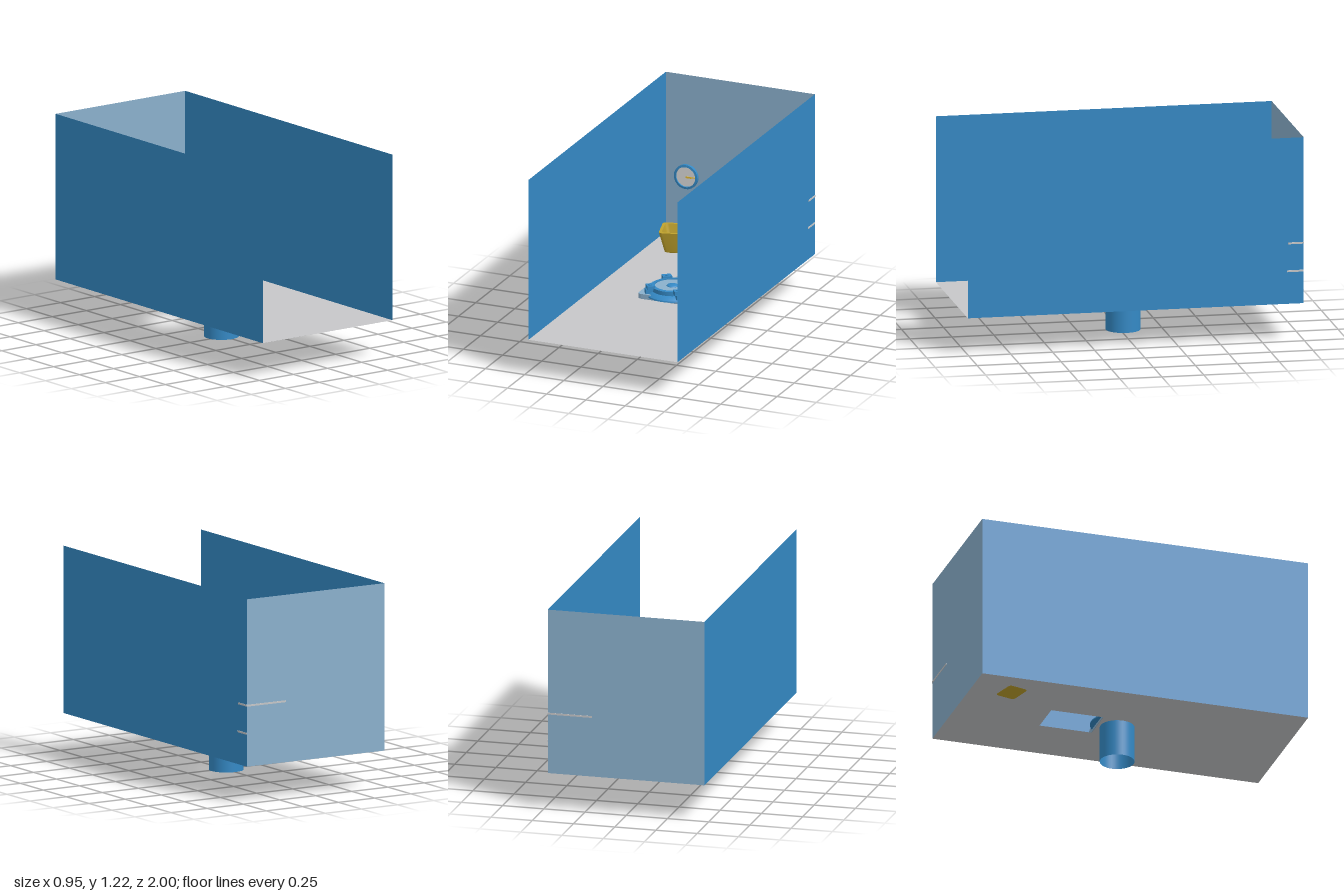
import * as THREE from 'three';
import { toCreasedNormals } from 'three/addons/utils/BufferGeometryUtils.js';

const mat = (name, color) => new THREE.MeshStandardMaterial({ name, color, side: THREE.DoubleSide });

// Corner points of a rounded rectangle, counter-clockwise, always the same count
function roundRectPoints(w, d, r, steps = 4) {
  const pts = [];
  for (let c = 0; c < 4; c++) {
    const sx = c === 0 || c === 3 ? 1 : -1, sy = c < 2 ? 1 : -1;
    for (let i = 0; i <= steps; i++) {
      const a = (c + i / steps) * Math.PI / 2;
      pts.push(new THREE.Vector2(sx * (w / 2 - r) + r * Math.cos(a), sy * (d / 2 - r) + r * Math.sin(a)));
    }
  }
  return pts;
}

// Skin over a stack of equal-length cross-sections
function skinSections(sections) {
  const pos = [], index = [];
  const n = sections[0].pts.length;
  sections.forEach(({ pts, y }, k) => {
    pts.forEach((p, i) => {
      pos.push(p.x, y, -p.y);
      if (k > 0) {
        const a = (k - 1) * n + i, b = (k - 1) * n + (i + 1) % n;
        index.push(a, b, a + n, b, b + n, a + n);
      }
    });
  });
  const geo = new THREE.BufferGeometry();
  geo.setAttribute('position', new THREE.Float32BufferAttribute(pos, 3));
  geo.setIndex(index);
  return toCreasedNormals(geo, 0.5);
}

const lathe = (pts, n = 32) =>
  toCreasedNormals(new THREE.LatheGeometry(pts.map(p => new THREE.Vector2(...p)), n), 0.5);

export function createModel() {
  const root = new THREE.Group();
  root.name = 'storeRoom';
  const blue = mat('blue', 0x3489c5);
  const paleBlue = mat('paleBlue', 0x8ab0cc);
  const grey = mat('grey', 0xc6c7c9);
  const white = mat('white', 0xd8d8d8);
  const mustard = mat('mustard', 0xc0a22c);
  const yellow = mat('yellow', 0xe6b92c);
  const orange = mat('orange', 0xe0711f);

  const add = (parent, name, geo, material, x = 0, y = 0, z = 0) => {
    const m = new THREE.Mesh(geo, material);
    m.name = name;
    m.position.set(x, y, z);
    parent.add(m);
  };
  const group = (parent, name, x = 0, y = 0, z = 0) => {
    const g = new THREE.Group();
    g.name = name;
    g.position.set(x, y, z);
    parent.add(g);
    return g;
  };

  const W = 0.475, FLOOR = 0.22, H = 0.995;

  // Floor with a rectangular opening behind the hatch
  const floorShape = new THREE.Shape();
  floorShape.moveTo(-W, -1).lineTo(W, -1).lineTo(W, 1).lineTo(-W, 1);
  const opening = new THREE.Path();
  opening.moveTo(-0.113, 0.14).lineTo(-0.113, 0.46).lineTo(0.11, 0.46).lineTo(0.11, 0.14);
  floorShape.holes.push(opening);
  add(root, 'floor', new THREE.ShapeGeometry(floorShape).rotateX(-Math.PI / 2), grey, 0, FLOOR, 0);

  // Walls, open at the front and top
  for (const s of [-1, 1]) {
    add(root, s > 0 ? 'leftWall' : 'rightWall',
      new THREE.PlaneGeometry(2, H).rotateY(s * Math.PI / 2), blue, s * W, FLOOR + H / 2, 0);
  }
  add(root, 'backWall', new THREE.PlaneGeometry(2 * W, H), paleBlue, 0, FLOOR + H / 2, -1);

  // Hatch: tube under the floor, base plate, flange, lid and knob
  const hatch = group(root, 'hatch', -0.003, 0, -0.02);
  add(hatch, 'tube', new THREE.CylinderGeometry(0.102, 0.102, 0.222, 40, 1, true), blue, 0, 0.111, 0);
  add(hatch, 'sealRing', lathe([[0.1, 0.222], [0.107, 0.222], [0.107, 0.232], [0.1, 0.232]], 40), yellow);
  const plate = new THREE.Shape(roundRectPoints(0.345, 0.245, 0.025));
  const bore = new THREE.Path();
  bore.absarc(0, 0, 0.112, 0, Math.PI * 2, true);
  plate.holes.push(bore);
  add(hatch, 'basePlate', new THREE.ExtrudeGeometry(plate, { depth: 0.03, bevelEnabled: false, curveSegments: 16 })
    .rotateX(-Math.PI / 2), paleBlue, 0, FLOOR + 0.001, 0);
  add(hatch, 'flange', lathe([[0.112, 0.235], [0.16, 0.235], [0.158, 0.243], [0.135, 0.26],
    [0.125, 0.263], [0.125, 0.288], [0.104, 0.29], [0.104, 0.282]]), blue);
  add(hatch, 'lid', new THREE.CylinderGeometry(0.106, 0.106, 0.03, 32), paleBlue, 0, 0.269, 0);
  add(hatch, 'knob', new THREE.SphereGeometry(0.035, 20, 8, 0, Math.PI * 2, 0, Math.PI / 2).scale(1, 0.3, 1),
    blue, 0, 0.284, 0);

  // Four clamps on the diagonals
  for (let i = 0; i < 4; i++) {
    const clamp = group(hatch, 'clamp');
    clamp.rotation.y = (i + 0.5) * Math.PI / 2 - 0.12;
    add(clamp, 'clampFoot', new THREE.BoxGeometry(0.05, 0.03, 0.035), blue, 0.14, 0.265, 0);
    add(clamp, 'clampHead', new THREE.BoxGeometry(0.045, 0.025, 0.055), blue, 0.135, 0.288, 0);
    add(clamp, 'clampBolt', new THREE.CylinderGeometry(0.012, 0.012, 0.01, 8), blue, 0.135, 0.3, 0);
  }

  // Tub: hollow, tapered, with rounded corners
  const tub = group(root, 'tub', -0.277, 0, -0.755);
  tub.rotation.y = THREE.MathUtils.degToRad(15);
  const sections = [[0.15, 0.12, 0.218], [0.168, 0.136, 0.224], [0.229, 0.187, 0.35],
    [0.196, 0.154, 0.35], [0.15, 0.115, 0.232]]
    .map(([w, d, y]) => ({ pts: roundRectPoints(w, d, 0.02), y }));
  add(tub, 'tubWall', skinSections(sections), mustard);
  for (const [name, { pts, y }, turn] of [['tubUnderside', sections[0], 1], ['tubFloor', sections[4], -1]]) {
    add(tub, name, new THREE.ShapeGeometry(new THREE.Shape(pts)).rotateX(turn * Math.PI / 2), mustard, 0, y, 0);
  }

  // Traffic cones with two pale stripes
  const coneRadius = y => 0.051 - (y - 0.01) * 0.299;
  for (const [x, z] of [[0.163, -0.91], [0.29, -0.61]]) {
    const cone = group(root, 'trafficCone', x, FLOOR + 0.0005, z);
    add(cone, 'coneBase', new THREE.CylinderGeometry(0.061, 0.063, 0.01, 24), orange, 0, 0.005, 0);
    add(cone, 'coneBody', lathe([[0.05, 0.01], [0.015, 0.127], [0.011, 0.134], [0.0005, 0.135]], 24), orange);
    for (const [a, b] of [[0.046, 0.053], [0.087, 0.096]]) {
      add(cone, 'coneStripe', lathe([[coneRadius(a), a], [coneRadius(b), b]], 24), white);
    }
  }

  // Corner shelves, each with an upturned funnel
  for (const [y, front, back, x] of [[0.41, -0.9, -0.999, 0.346], [0.577, -0.908, -1.002, 0.37]]) {
    add(root, 'shelf', new THREE.BoxGeometry(0.272, 0.011, front - back), grey, 0.342, y + 0.0055, (front + back) / 2);
    add(root, 'funnel', lathe([[0.042, 0], [0.042, 0.006], [0.036, 0.012], [0.016, 0.062],
      [0.013, 0.07], [0.009, 0.115], [0.009, 0.119], [0.004, 0.119]]), white, x, y + 0.011, -0.955);
  }

  // Wall clock
  const clock = group(root, 'clock', -0.341, 0.585, -0.999);
  add(clock, 'clockRim', lathe([[0.062, 0], [0.075, 0], [0.075, 0.018], [0.062, 0.02], [0.062, 0.008]], 24)
    .rotateX(Math.PI / 2), blue);
  add(clock, 'clockFace', new THREE.CircleGeometry(0.063, 32), white, 0, 0, 0.01);
  add(clock, 'minuteHand', new THREE.BoxGeometry(0.057, 0.006, 0.003), yellow, 0.028, 0, 0.014);
  add(clock, 'hourHand', new THREE.BoxGeometry(0.035, 0.009, 0.003), yellow, 0.016, -0.003, 0.012);

  return root;
}
